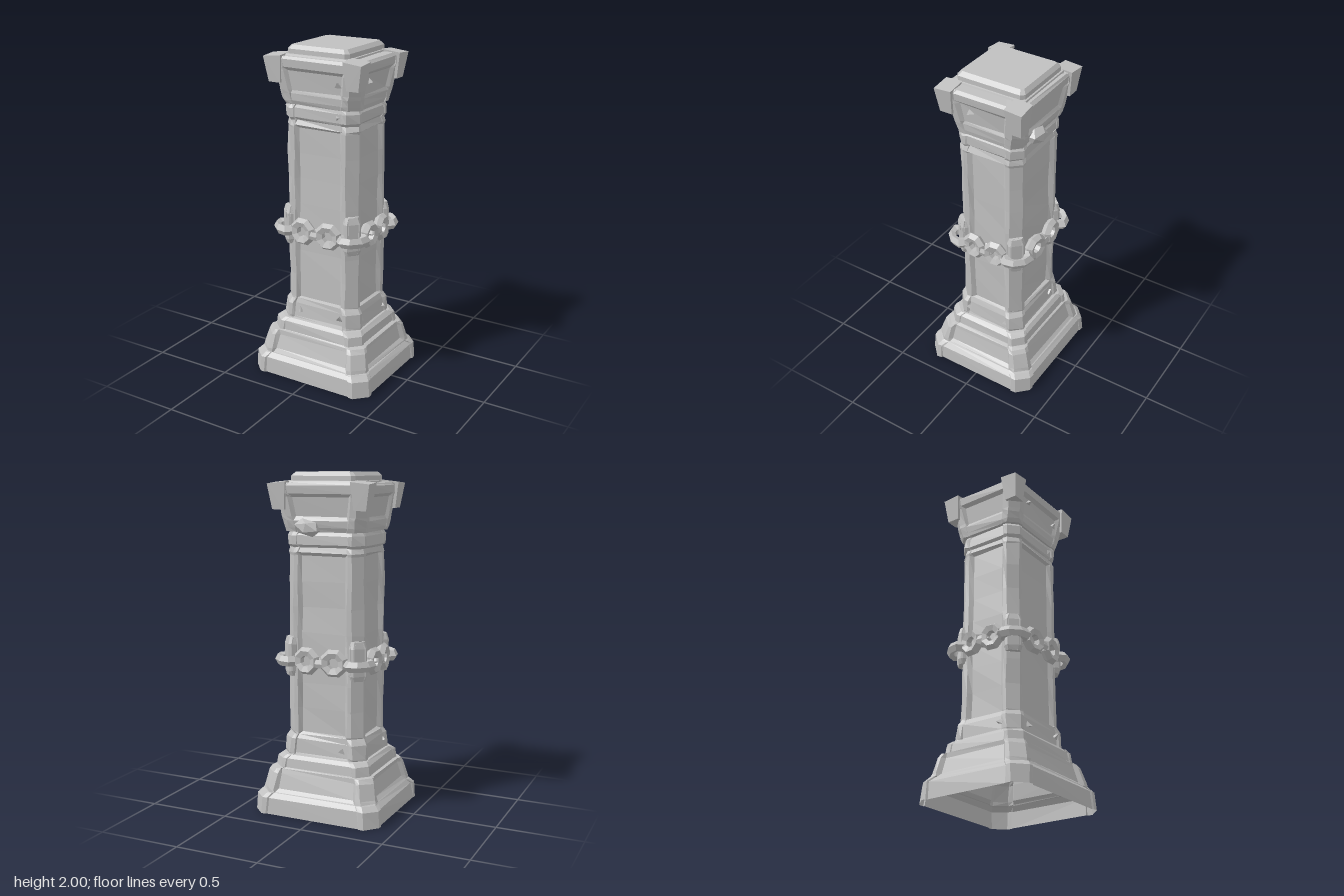
import * as THREE from 'three';

const stone = new THREE.MeshStandardMaterial({ color: 0xc0c0c0, side: THREE.DoubleSide });
stone.name = 'grey stone';

// Seeded noise for worn, hand-cut edges
let seed = 7;
function wobble(amount) {
  seed = (seed * 16807) % 2147483647;
  return (seed / 2147483647 - 0.5) * 2 * amount;
}

// Chamfered rectangle whose sides sink by d between corner blocks of width w
function section([y, hx, hz, c, w, d], rough) {
  const corner = [
    [hx - d, hz - w - d], [hx, hz - w], [hx, hz - c],
    [hx - c, hz], [hx - w, hz], [hx - w - d, hz - d],
  ];
  const points = [];
  [[1, 1], [-1, 1], [-1, -1], [1, -1]].forEach(([sx, sz], q) => {
    const list = q % 2 ? corner.slice().reverse() : corner;
    for (const [x, z] of list) {
      points.push(x * sx + wobble(rough), y + (y > 0 ? wobble(rough) : 0), z * sz + wobble(rough));
    }
  });
  return points;
}

function faceted(geometry) {
  const flat = geometry.index ? geometry.toNonIndexed() : geometry;
  flat.computeVertexNormals();
  return flat;
}

// Skin a stack of sections, with optional end caps
function loft(rings, { rough = 0, top = true, bottom = true } = {}) {
  const n = 24, positions = [], index = [];
  for (const ring of rings) positions.push(...section(ring, rough));
  for (let i = 0; i < rings.length - 1; i++) {
    for (let j = 0; j < n; j++) {
      const a = i * n + j, b = i * n + (j + 1) % n;
      index.push(a, a + n, b + n, a, b + n, b);
    }
  }
  const cap = (row, up) => {
    const centre = positions.length / 3;
    positions.push(0, rings[row][0], 0);
    for (let j = 0; j < n; j++) {
      const a = row * n + j, b = row * n + (j + 1) % n;
      index.push(centre, up ? b : a, up ? a : b);
    }
  };
  if (bottom) cap(0, false);
  if (top) cap(rings.length - 1, true);
  const geometry = new THREE.BufferGeometry();
  geometry.setAttribute('position', new THREE.Float32BufferAttribute(positions, 3));
  geometry.setIndex(index);
  return faceted(geometry);
}

function add(parent, name, geometry) {
  const mesh = new THREE.Mesh(geometry, stone);
  mesh.name = name;
  parent.add(mesh);
  return mesh;
}

// Low-poly oval chain link lying in the xy plane
function linkGeometry(length, height, thickness) {
  const geometry = new THREE.TorusGeometry(0.055, 0.028, 5, 8);
  geometry.rotateZ(Math.PI / 8);
  geometry.scale(length / 0.16, height / 0.16, thickness / 0.054);
  return faceted(geometry);
}

export function createModel() {
  const model = new THREE.Group();
  model.name = 'stonePillar';

  // Hollow stepped base: [y, halfX, halfZ, chamfer, cornerWidth, recess]
  add(model, 'base', loft([
    [0, 0.4, 0.365, 0.07, 0.1, 0.008],
    [0.1, 0.393, 0.36, 0.07, 0.1, 0.008],
    [0.125, 0.37, 0.338, 0.065, 0.1, 0.008],
    [0.13, 0.362, 0.33, 0.065, 0.1, 0.008],
    [0.15, 0.358, 0.325, 0.065, 0.095, 0.02],
    [0.24, 0.338, 0.3, 0.06, 0.085, 0.02],
    [0.265, 0.325, 0.285, 0.06, 0.085, 0.008],
    [0.27, 0.302, 0.27, 0.06, 0.085, 0.006],
    [0.325, 0.296, 0.264, 0.06, 0.085, 0.006],
    [0.345, 0.275, 0.243, 0.06, 0.085, 0.006],
    [0.35, 0.24, 0.205, 0.05, 0.08, 0.006],
  ], { rough: 0.003, bottom: false, top: false }));

  // Shaft with four sunken panels between chamfered corner posts
  const shaft = [
    [0.25, 0.29, 0.255, 0.06, 0.085, 0.004],
    [0.34, 0.262, 0.228, 0.06, 0.085, 0.004],
    [0.36, 0.262, 0.228, 0.06, 0.085, 0.01],
    [0.44, 0.258, 0.222, 0.06, 0.085, 0.01],
    [0.47, 0.238, 0.208, 0.055, 0.08, 0.004],
    [0.48, 0.238, 0.207, 0.055, 0.08, 0.022],
  ];
  for (let i = 1; i < 7; i++) shaft.push([0.48 + i * 0.15, 0.238, 0.206, 0.055, 0.08, 0.022]);
  shaft.push(
    [1.53, 0.238, 0.206, 0.055, 0.08, 0.022],
    [1.545, 0.238, 0.206, 0.055, 0.08, 0.004],
    [1.575, 0.228, 0.198, 0.05, 0.08, 0.004],
    [1.59, 0.242, 0.212, 0.055, 0.08, 0.006],
    [1.645, 0.242, 0.212, 0.055, 0.08, 0.006],
    [1.67, 0.228, 0.2, 0.05, 0.08, 0.004],
  );
  add(model, 'shaft', loft(shaft, { rough: 0.004 }));

  // Flared capital
  add(model, 'capital', loft([
    [1.665, 0.248, 0.212, 0.05, 0.09, 0.004],
    [1.69, 0.255, 0.222, 0.05, 0.09, 0.004],
    [1.73, 0.262, 0.23, 0.05, 0.09, 0.006],
    [1.75, 0.266, 0.234, 0.05, 0.09, 0.018],
    [1.86, 0.284, 0.25, 0.05, 0.09, 0.018],
    [1.88, 0.29, 0.256, 0.05, 0.09, 0.004],
    [1.925, 0.294, 0.26, 0.05, 0.09, 0.004],
    [1.94, 0.28, 0.248, 0.05, 0.09, 0.004],
  ], { rough: 0.003 }));

  // Bevelled top slab
  add(model, 'topSlab', loft([
    [1.93, 0.215, 0.23, 0.015, 0.06, 0],
    [1.95, 0.208, 0.222, 0.015, 0.06, 0],
    [1.952, 0.2, 0.213, 0.02, 0.06, 0],
    [1.978, 0.2, 0.213, 0.02, 0.06, 0],
    [2, 0.178, 0.195, 0.015, 0.06, 0],
  ]));

  // Tapered horn block, mirrored to the four capital corners
  const horn = new THREE.BoxGeometry(1, 1, 1);
  const p = horn.attributes.position;
  for (let i = 0; i < p.count; i++) {
    const outX = p.getX(i) > 0, outZ = p.getZ(i) > 0, high = p.getY(i) > 0;
    p.setXYZ(i,
      outX ? (high ? 0.315 : 0.29) : (high ? 0.2 : 0.215),
      high ? 1.955 - (outX ? 0.012 : 0) - (outZ ? 0.008 : 0) : 1.79,
      outZ ? (high ? 0.272 : 0.256) : (high ? 0.165 : 0.18));
  }
  const hornGeometry = faceted(horn);

  // Corner parts: horns, chain brackets and the links wrapping the corners
  const bracket = loft([
    [0.82, 0.042, 0.022, 0.012, 0.02, 0],
    [0.85, 0.05, 0.03, 0.012, 0.02, 0],
    [1.01, 0.05, 0.03, 0.012, 0.02, 0],
    [1.05, 0.04, 0.02, 0.012, 0.018, 0],
  ], { rough: 0.002 });
  const chain = new THREE.Group();
  chain.name = 'chain';
  model.add(chain);
  const cornerLink = linkGeometry(0.2, 0.13, 0.062);
  cornerLink.rotateX(Math.PI / 2);
  for (const sx of [-1, 1]) {
    for (const sz of [-1, 1]) {
      add(model, 'cornerHorn', hornGeometry).scale.set(sx, 1, sz);
      const plate = add(model, 'cornerBracket', bracket);
      plate.position.set(sx * 0.212, 0, sz * 0.18);
      plate.rotation.y = sx * sz * Math.PI / 4;
      const link = add(chain, 'cornerLink', cornerLink);
      link.position.set(sx * 0.232, 0.915, sz * 0.2);
      link.rotation.y = sx * sz * Math.PI / 4;
    }
  }

  // Two upright links and one small joining link on each side
  const wideLink = linkGeometry(0.17, 0.165, 0.056);
  const narrowLink = linkGeometry(0.15, 0.165, 0.056);
  const joinLink = linkGeometry(0.11, 0.08, 0.05);
  joinLink.rotateX(Math.PI / 2);
  for (let i = 0; i < 4; i++) {
    const side = new THREE.Group();
    side.name = 'chainSide';
    side.rotation.y = i * Math.PI / 2;
    chain.add(side);
    const onX = i % 2 === 1;
    const distance = onX ? 0.264 : 0.234, spacing = onX ? 0.072 : 0.086;
    for (const s of [-1, 1]) {
      const link = add(side, 'uprightLink', onX ? narrowLink : wideLink);
      link.position.set(s * spacing, 0.922, distance);
      link.rotation.y = s * 0.1;
    }
    add(side, 'joiningLink', joinLink).position.set(0, 0.915, distance - 0.006);
  }

  // Broken lump hanging under the back of the capital
  const lump = add(model, 'brokenLump', faceted(new THREE.IcosahedronGeometry(1, 0)));
  lump.scale.set(0.085, 0.05, 0.05);
  lump.position.set(0.08, 1.69, -0.23);
  lump.rotation.z = 0.25;

  // Small stone chips on the foot and capital faces
  const chip = faceted(new THREE.TetrahedronGeometry(0.025));
  for (const [x, y, z] of [
    [-0.12, 0.4, 0.215], [0.15, 0.41, 0.217], [0.13, 1.62, 0.202], [-0.12, 1.84, 0.23],
    [0.15, 1.81, 0.232], [0.25, 0.4, 0.13], [0.25, 0.39, -0.13], [0.262, 1.82, 0.08],
    [-0.25, 0.4, 0.12], [-0.13, 0.4, -0.215],
  ]) {
    const mesh = add(model, 'stoneChip', chip);
    mesh.position.set(x, y, z);
    mesh.rotation.set(x * 20, y * 9, z * 14);
  }
  return model;
}
